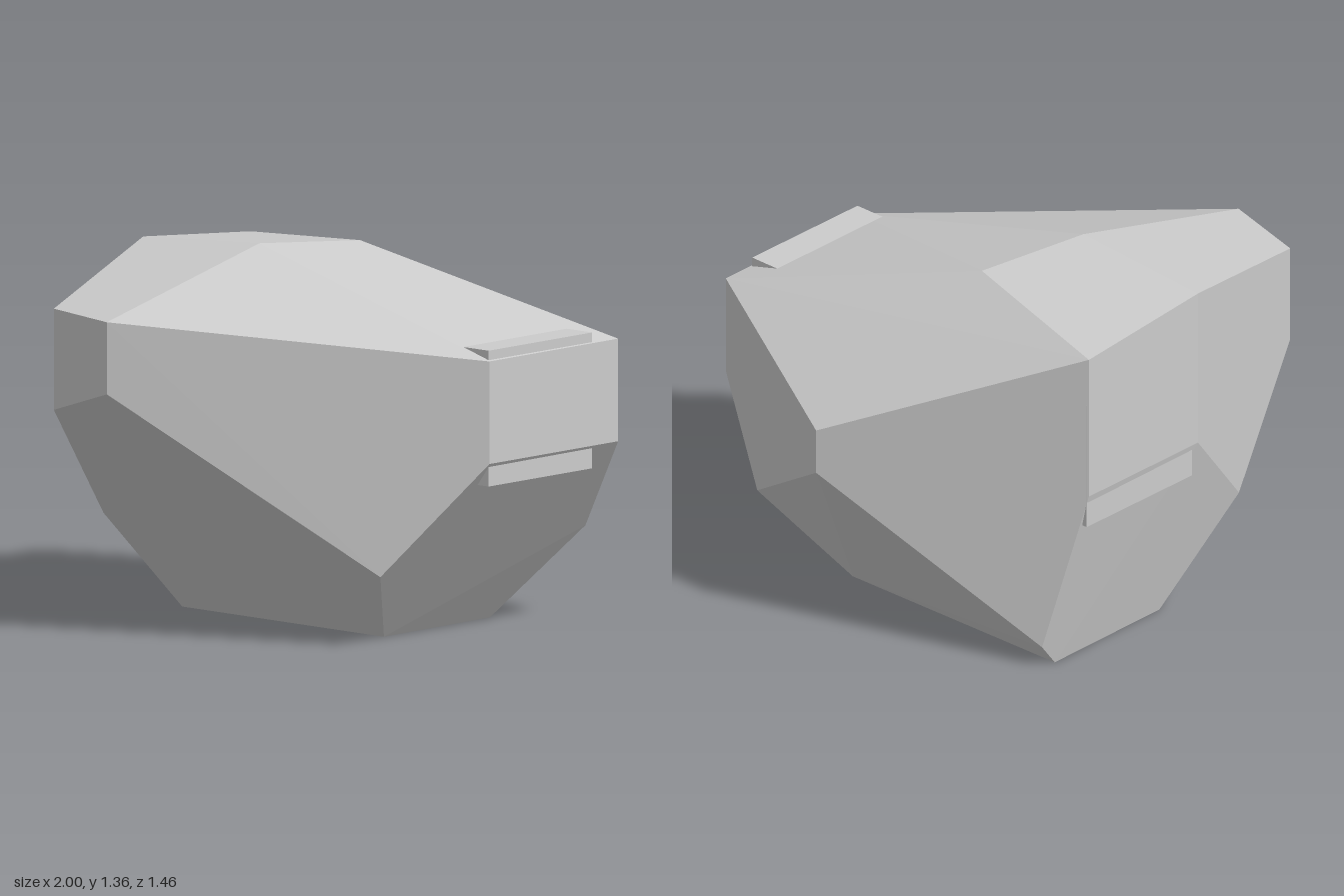
import * as THREE from 'three';
import { ConvexGeometry } from 'three/addons/geometries/ConvexGeometry.js';

const grey = () => new THREE.MeshStandardMaterial({ color: 0xcccccc, flatShading: true });

export function createModel() {
  const group = new THREE.Group();
  group.name = 'rock';

  // Upright edges of the rock: x, z, lower y, upper y
  const uprights = [
    [-0.38, -0.73, 0.72, 1.27],
    [0.61, -0.56, 0.68, 0.85],
    [1.0, 0.19, 0.68, 1.05],
    [0.58, 0.725, 0.68, 1.05],
    [-0.79, 0.665, 0.905, 1.165],
    [-1.0, 0.38, 0.8, 1.165],
    [-0.73, -0.285, 0.72, 1.32],
  ];
  // Crown, lower shoulders and foot
  const corners = [
    [0.05, 1.33, -0.2], [-0.29, 1.357, 0.06],
    [0.19, 0.265, 0.712], [0.865, 0.335, -0.06], [-0.21, 0.09, -0.7], [-0.85, 0.37, 0.01],
    [0.18, 0, 0.405], [0.525, 0, -0.05], [-0.25, 0, -0.64], [-0.585, 0, -0.205],
  ];
  const points = corners.map((c) => new THREE.Vector3(...c));
  for (const [x, z, low, high] of uprights) {
    points.push(new THREE.Vector3(x, low, z), new THREE.Vector3(x, high, z));
  }
  const stone = new THREE.Mesh(new ConvexGeometry(points), grey());
  stone.name = 'stone';
  group.add(stone);

  // Block buried in the stone, its edges just breaking the surface
  const core = new THREE.Mesh(new THREE.BoxGeometry(1.64, 0.49, 0.545), grey());
  core.name = 'innerBlock';
  core.position.set(0.102, 0.842, -0.008);
  core.rotation.y = -0.669;
  group.add(core);

  return group;
}
